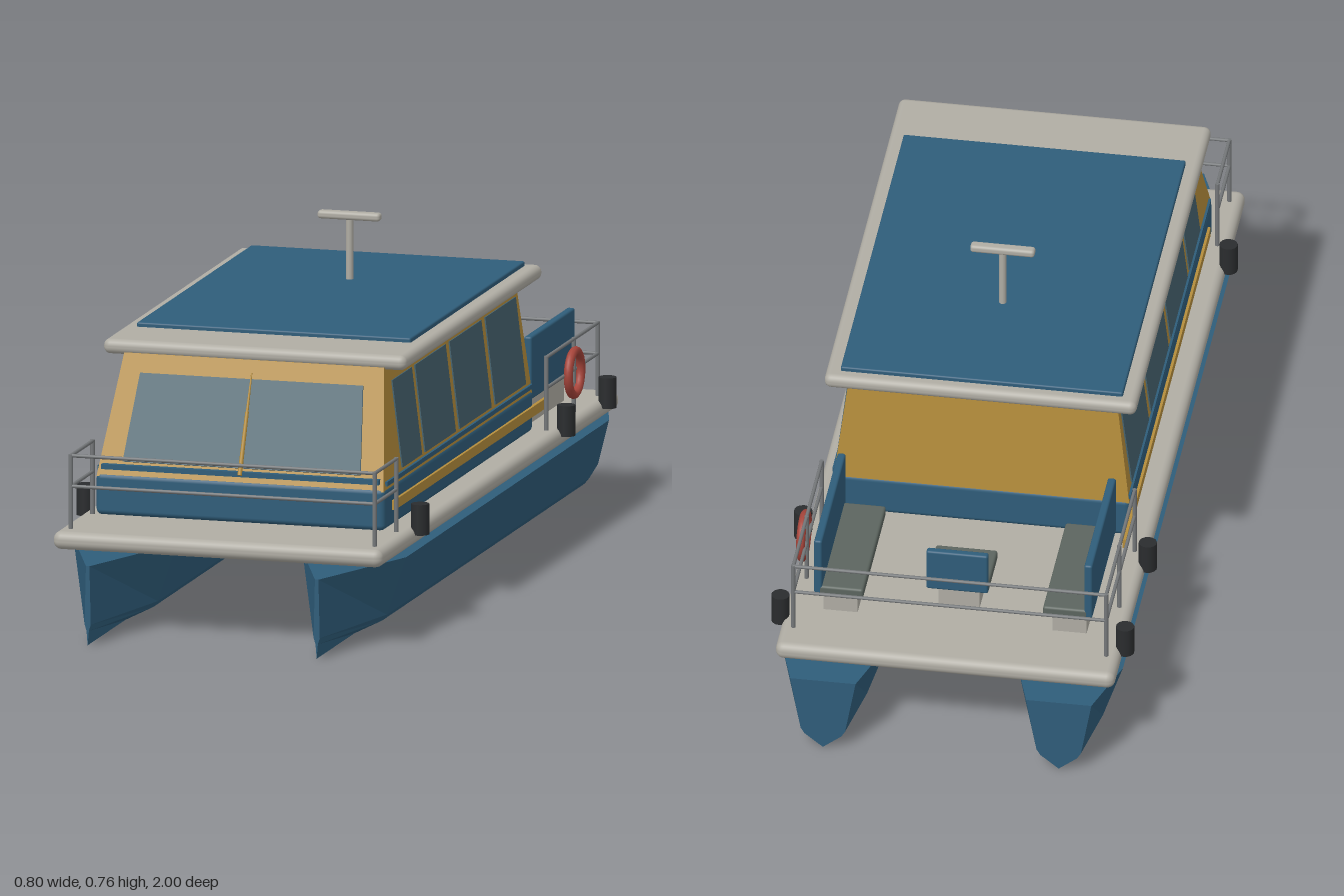
import * as THREE from 'three';
import { RoundedBoxGeometry } from 'three/addons/geometries/RoundedBoxGeometry.js';

const paint = (color, extra = {}) => new THREE.MeshStandardMaterial({ color, ...extra });

export function createModel() {
  const boat = new THREE.Group();
  boat.name = 'catamaran';
  const blue = paint(0x2f5d7a), yellow = paint(0xb58d3c), grey = paint(0xb0ada4);
  const dark = paint(0x2a2c2e), glass = paint(0x46636f), red = paint(0xa5443a);
  const metal = paint(0x75787a), cushion = paint(0x5c655f);
  const blueFlat = paint(0x2f5d7a, { flatShading: true });
  const yellowFlat = paint(0xb58d3c, { flatShading: true });

  const add = (name, geo, mat, x = 0, y = 0, z = 0, parent = boat) => {
    const m = new THREE.Mesh(geo, mat);
    m.name = name;
    m.position.set(x, y, z);
    parent.add(m);
    return m;
  };
  // Box given by its limits, rounded when r > 0
  const block = (name, mat, [x0, x1], [y0, y1], [z0, z1], r = 0, parent = boat) => {
    const s = [x1 - x0, y1 - y0, z1 - z0];
    const geo = r ? new RoundedBoxGeometry(...s, 3, r) : new THREE.BoxGeometry(...s);
    return add(name, geo, mat, (x0 + x1) / 2, (y0 + y1) / 2, (z0 + z1) / 2, parent);
  };
  // Round bar between two points
  const bar = (name, mat, a, b, r0, r1 = r0, parent = boat) => {
    const p = new THREE.Vector3(...a), q = new THREE.Vector3(...b);
    const d = q.clone().sub(p);
    const m = add(name, new THREE.CylinderGeometry(r1, r0, d.length(), 10), mat, 0, 0, 0, parent);
    m.position.copy(p).add(q).multiplyScalar(0.5);
    m.quaternion.setFromUnitVectors(new THREE.Vector3(0, 1, 0), d.normalize());
    return m;
  };
  // Closed skin over rings that run counterclockwise seen from the last ring
  const loft = (rings) => {
    const pos = [], n = rings[0].length;
    const tri = (...pts) => pts.forEach((p) => pos.push(...p));
    for (let i = 0; i < rings.length - 1; i++) {
      for (let j = 0; j < n; j++) {
        const k = (j + 1) % n, a = rings[i], b = rings[i + 1];
        tri(a[j], a[k], b[k]);
        tri(a[j], b[k], b[j]);
      }
    }
    const first = rings[0], last = rings[rings.length - 1];
    for (let j = 1; j < n - 1; j++) {
      tri(first[0], first[j + 1], first[j]);
      tri(last[0], last[j], last[j + 1]);
    }
    const geo = new THREE.BufferGeometry();
    geo.setAttribute('position', new THREE.Float32BufferAttribute(pos, 3));
    geo.computeVertexNormals();
    return geo;
  };

  // Twin hulls: stations of z, half beam at the top, half beam at the chine
  const stations = [[-1, 0.072, 0.045], [-0.85, 0.118, 0.07], [0.71, 0.118, 0.07], [1, 0.004, 0.003]];
  const hull = loft(stations.map(([z, t, c]) => [
    [t, 0.18, z], [-t, 0.18, z], [-c - 0.004, 0.05, z], [-c * 0.9, 0.036, z],
    [0, 0.004, z], [c * 0.9, 0.036, z], [c + 0.004, 0.05, z],
  ]));
  for (const s of [-1, 1]) add('hull', hull, blueFlat, s * 0.26);

  // Deck, underside bridge and wheels
  block('deck', grey, [-0.374, 0.374], [0.188, 0.228], [-0.95, 0.89], 0.018);
  block('underBox', dark, [-0.155, 0.155], [0.145, 0.19], [-0.17, 0.32], 0.01);
  for (const z of [-0.1, 0.25]) block('crossBeam', dark, [-0.22, 0.22], [0.174, 0.192], [z - 0.06, z + 0.06]);
  for (const s of [-1, 1]) {
    block('hullSeat', dark, [s * 0.26 - 0.05, s * 0.26 + 0.05], [0.175, 0.192], [-0.13, 0.28]);
    for (const z of [-0.1, 0.25]) {
      add('tyre', new THREE.TorusGeometry(0.035, 0.016, 10, 28), dark, s * 0.164, 0.135, z).rotation.y = Math.PI / 2;
      add('wheelHub', new THREE.CylinderGeometry(0.024, 0.024, 0.02, 20), metal, s * 0.164, 0.135, z).rotation.z = Math.PI / 2;
    }
  }

  // Cabin: lower band, sloped upper walls, belt line and side stripe
  const cabin = new THREE.Group();
  cabin.name = 'cabin';
  boat.add(cabin);
  block('coaming', dark, [-0.23, 0.23], [0.222, 0.24], [-0.35, 0.6], 0, cabin);
  block('lowerBand', blue, [-0.328, 0.328], [0.234, 0.327], [-0.436, 0.71], 0.012, cabin);
  const ring = (x, y, z0, z1) => [[x, y, z1], [x, y, z0], [-x, y, z0], [-x, y, z1]];
  add('upperWalls', loft([ring(0.326, 0.32, -0.434, 0.708), ring(0.295, 0.575, -0.41, 0.6)]), yellowFlat, 0, 0, 0, cabin);
  block('frontBelt', blue, [-0.315, 0.315], [0.336, 0.347], [0.69, 0.71], 0, cabin);
  for (const s of [-1, 1]) {
    block('sideBelt', blue, [s * 0.325 - 0.004, s * 0.325 + 0.004], [0.33, 0.34], [-0.43, 0.69], 0, cabin);
    block('sideStripe', yellow, [s * 0.33 - 0.004, s * 0.33 + 0.004], [0.27, 0.292], [-0.53, 0.65], 0, cabin);
  }

  // Side windows lean with the walls
  const sideLean = 0.031 / 0.255, sideAngle = Math.atan(sideLean);
  for (const s of [-1, 1]) {
    for (const [z0, z1] of [[0.41, 0.56], [0.15, 0.385], [-0.125, 0.12], [-0.39, -0.155]]) {
      const x = 0.326 - sideLean * (0.443 - 0.32);
      const w = add('sideWindow', new THREE.BoxGeometry(0.006, 0.194, z1 - z0), glass, s * x, 0.443, (z0 + z1) / 2, cabin);
      w.rotation.z = s * sideAngle;
    }
  }

  // Windscreen and wiper lie on the raked front
  const rake = 0.108 / 0.255, frontZ = (y) => 0.708 - rake * (y - 0.32);
  const h = 0.183 * Math.hypot(1, rake);
  const pane = new THREE.Shape([[-0.27, 0], [0.27, 0], [0.253, h], [-0.253, h]].map((p) => new THREE.Vector2(...p)));
  const screen = add('windscreen', new THREE.ExtrudeGeometry(pane, { depth: 0.004, bevelEnabled: false }), glass,
    0, 0.352, frontZ(0.352), cabin);
  screen.rotation.x = -Math.atan(rake);
  bar('wiperArm', yellow, [0, 0.34, frontZ(0.34) + 0.012], [0, 0.47, frontZ(0.47) + 0.01], 0.005, 0.004, cabin);
  bar('wiperBlade', yellow, [0, 0.45, frontZ(0.45) + 0.01], [0, 0.55, frontZ(0.55) + 0.008], 0.0035, 0.0015, cabin);

  // Roof with raised panel and mast
  block('roof', grey, [-0.344, 0.344], [0.569, 0.602], [-0.457, 0.602], 0.015);
  block('roofPanel', blue, [-0.311, 0.311], [0.598, 0.612], [-0.43, 0.45], 0.004);
  bar('mast', grey, [0, 0.61, -0.135], [0, 0.75, -0.135], 0.008);
  block('mastBar', grey, [-0.071, 0.071], [0.744, 0.762], [-0.147, -0.123], 0.007);

  // Bow and stern railings: two rails around three sides, with posts
  const railing = (name, zEnd, zIn, posts) => {
    const g = new THREE.Group(), x = 0.345;
    g.name = name;
    boat.add(g);
    for (const y of [0.322, 0.39]) {
      bar('endRail', metal, [-x, y, zEnd], [x, y, zEnd], 0.004, 0.004, g);
      for (const s of [-1, 1]) bar('sideRail', metal, [s * x, y, zEnd], [s * x, y, zIn], 0.004, 0.004, g);
    }
    for (const s of [-1, 1]) {
      for (const z of posts) bar('post', metal, [s * x, 0.225, z], [s * x, 0.393, z], 0.005, 0.005, g);
    }
  };
  railing('bowRailing', 0.842, 0.675, [0.842, 0.675]);
  railing('sternRailing', -0.875, -0.48, [-0.875, -0.69, -0.48]);

  // Fenders and lifebuoy
  for (const s of [-1, 1]) {
    for (const z of [0.61, -0.515, -0.832]) {
      add('fender', new THREE.CylinderGeometry(0.02, 0.02, 0.068, 14), dark, s * 0.38, 0.246, z);
    }
  }
  add('lifebuoy', new THREE.TorusGeometry(0.048, 0.01, 10, 32), red, 0.355, 0.321, -0.663).rotation.y = Math.PI / 2;

  // Stern seating: two side benches and a single seat
  for (const s of [-1, 1]) {
    const span = (a, b) => (s > 0 ? [a, b] : [-b, -a]);
    block('benchBase', grey, span(0.215, 0.29), [0.225, 0.288], [-0.8, -0.54]);
    block('benchCushion', cushion, span(0.198, 0.298), [0.286, 0.31], [-0.83, -0.51], 0.006);
    block('benchBack', blue, span(0.289, 0.307), [0.29, 0.43], [-0.83, -0.495], 0.005);
  }
  block('seatBase', grey, [-0.045, 0.045], [0.225, 0.288], [-0.745, -0.655]);
  block('seatCushion', cushion, [-0.068, 0.068], [0.286, 0.31], [-0.77, -0.635], 0.006);
  block('seatBack', blue, [-0.068, 0.068], [0.29, 0.39], [-0.775, -0.757], 0.005);

  return boat;
}
